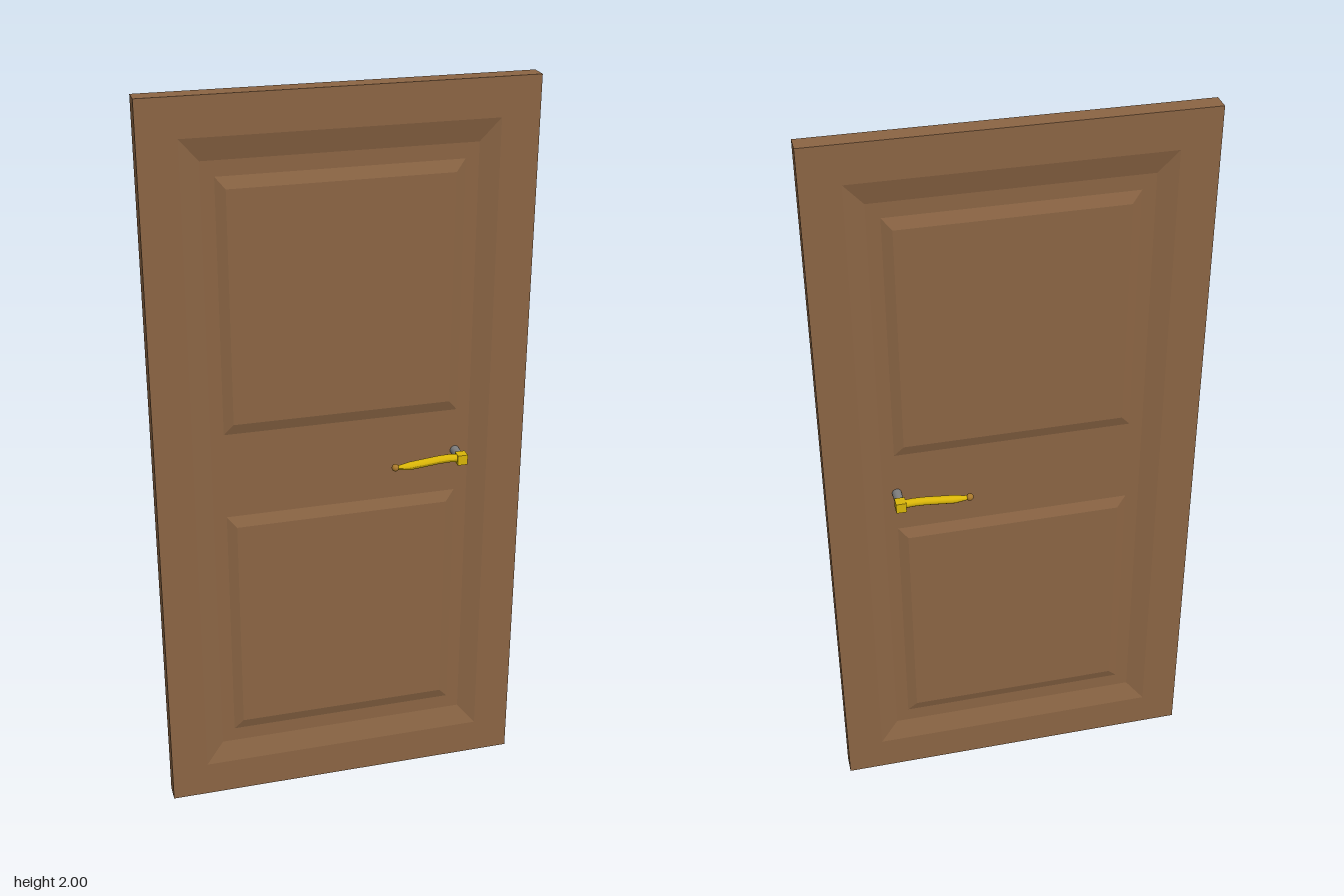
import * as THREE from 'three';

const mat = (name, color) => Object.assign(new THREE.MeshStandardMaterial({ color }), { name });

// Nested rectangles [halfWidth, bottom, top, z], joined by mitred bands; the last one is capped.
function steppedPanel(rects) {
  const pos = [];
  const corners = ([w, b, t, z]) => [[-w, b, z], [w, b, z], [w, t, z], [-w, t, z]];
  const quad = (a, b, c, d) => pos.push(...a, ...b, ...c, ...a, ...c, ...d);
  for (let i = 0; i < rects.length - 1; i++) {
    const o = corners(rects[i]), n = corners(rects[i + 1]);
    for (let k = 0; k < 4; k++) {
      const m = (k + 1) % 4;
      quad(o[k], o[m], n[m], n[k]);
    }
  }
  quad(...corners(rects[rects.length - 1]));
  const g = new THREE.BufferGeometry();
  g.setAttribute('position', new THREE.Float32BufferAttribute(pos, 3));
  g.computeVertexNormals();
  return g;
}

// Tapered, gently waved bar running towards -x from the hub
function leverGeometry() {
  const stations = [ // x, y, radius
    [0.305, 1.004, 0.011], [0.28, 1.006, 0.011], [0.25, 1.005, 0.011], [0.22, 1.002, 0.011],
    [0.19, 0.999, 0.011], [0.17, 0.997, 0.011], [0.145, 0.996, 0.007], [0.132, 0.997, 0.006],
  ];
  const g = new THREE.CylinderGeometry(1, 1, 1, 12, stations.length - 1);
  const p = g.attributes.position;
  for (let i = 0; i < p.count; i++) {
    const s = stations[Math.round((0.5 - p.getY(i)) * (stations.length - 1))];
    p.setXYZ(i, s[0], s[1] - p.getX(i) * s[2], p.getZ(i) * s[2]);
  }
  g.computeVertexNormals();
  return g;
}

export function createModel() {
  const model = new THREE.Group();
  model.name = 'door';
  const wood = mat('wood', 0x8b6544);
  const brass = mat('brass', 0xd9b508);
  const steel = mat('steel', 0x808080);
  const bronze = mat('bronze', 0xa8782c);

  const add = (parent, name, geometry, material, x = 0, y = 0, z = 0) => {
    const mesh = new THREE.Mesh(geometry, material);
    mesh.name = name;
    mesh.position.set(x, y, z);
    parent.add(mesh);
    return mesh;
  };

  // Door leaf: two identical faces, each with a sunken field and two raised panels
  const floor = 0.01;
  const leaf = steppedPanel([
    [0.5, 0, 2, 0], [0.5, 0, 2, 0.025], [0.4, 0.1, 1.9, 0.025], [0.35, 0.16, 1.84, floor],
  ]);
  const raised = [[0.2, 0.88], [1.12, 1.8]].map(([b, t]) =>
    steppedPanel([[0.315, b, t, floor], [0.29, b + 0.03, t - 0.03, 0.02]]));
  for (const side of ['front', 'back']) {
    const half = new THREE.Group();
    half.name = side + 'Leaf';
    if (side === 'back') half.rotation.y = Math.PI;
    add(half, 'frame', leaf, wood);
    add(half, 'lowerPanel', raised[0], wood);
    add(half, 'upperPanel', raised[1], wood);
    model.add(half);
  }

  // Spindle through the door
  const spindle = add(model, 'spindle', new THREE.CylinderGeometry(0.0125, 0.0125, 0.12, 16), steel, 0.313, 1, 0);
  spindle.rotation.x = Math.PI / 2;

  // Lever handles on both sides
  const lever = leverGeometry();
  for (const s of [1, -1]) {
    const handle = new THREE.Group();
    handle.name = s > 0 ? 'frontHandle' : 'backHandle';
    handle.position.z = s * 0.067;
    add(handle, 'hub', new THREE.BoxGeometry(0.027, 0.028, 0.028), brass, 0.313, 1.002, 0);
    add(handle, 'lever', lever, brass);
    add(handle, 'tip', new THREE.SphereGeometry(0.01, 12, 8), bronze, 0.13, 0.997, 0);
    model.add(handle);
  }
  return model;
}
